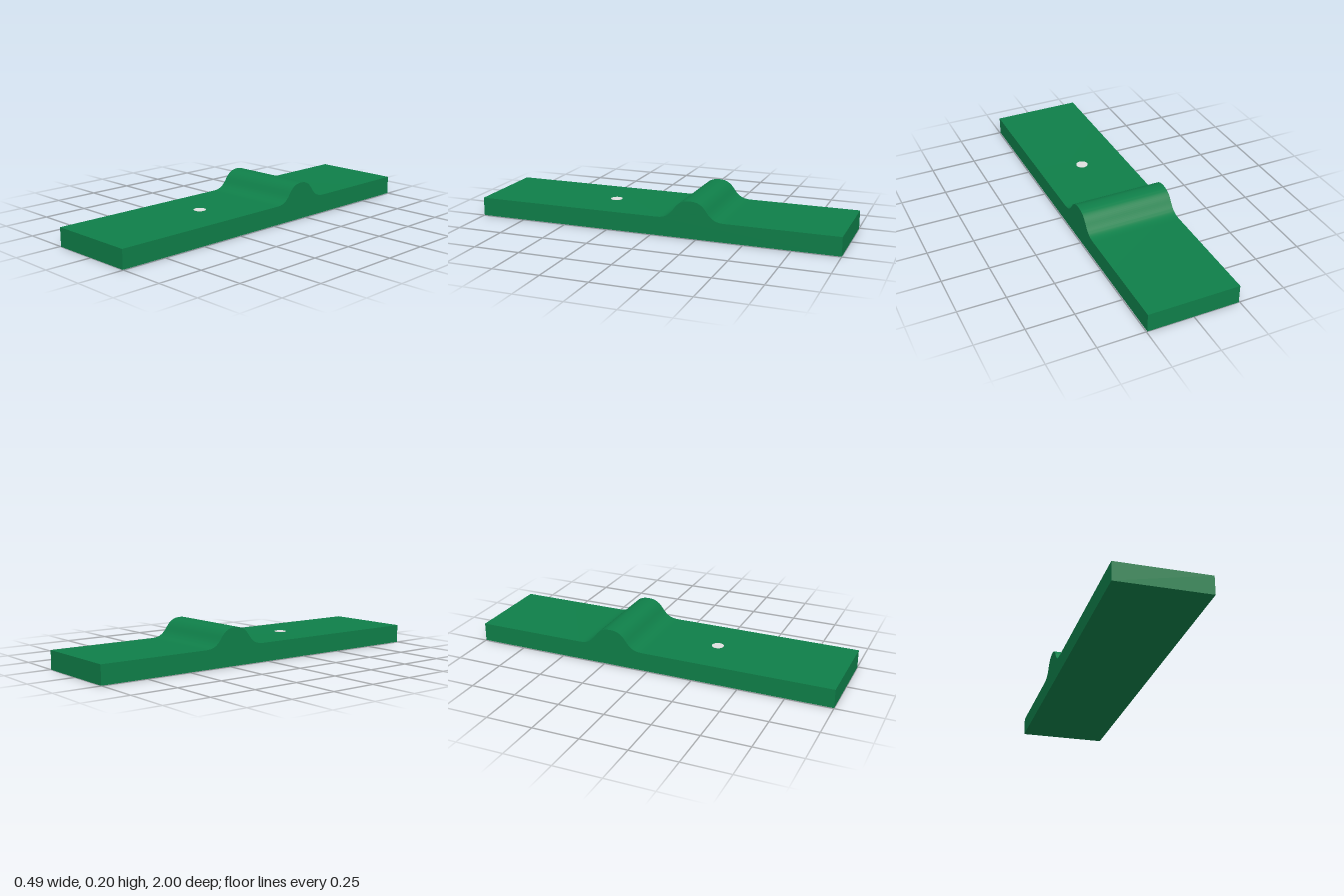
import * as THREE from 'three';
import { toCreasedNormals } from 'three/addons/utils/BufferGeometryUtils.js';

export function createModel() {
  const group = new THREE.Group();
  const green = new THREE.MeshStandardMaterial({ color: 0x0f7f49 });
  green.name = 'green';
  const white = new THREE.MeshStandardMaterial({ color: 0xe0e0e0 });
  white.name = 'white';

  const width = 0.49, top = 0.1, crest = 0.2, humpZ = -0.215;

  // Side profile of the lane: a flat slab with a smooth hump across it
  const profile = new THREE.Shape();
  profile.moveTo(-1, 0);
  profile.lineTo(1, 0);
  profile.lineTo(1, top);
  profile.lineTo(humpZ + 0.185, top);
  profile.bezierCurveTo(humpZ + 0.13, top, humpZ + 0.11, 0.122, humpZ + 0.09, 0.15);
  profile.bezierCurveTo(humpZ + 0.065, 0.187, humpZ + 0.04, crest, humpZ, crest);
  profile.bezierCurveTo(humpZ - 0.04, crest, humpZ - 0.065, 0.187, humpZ - 0.09, 0.15);
  profile.bezierCurveTo(humpZ - 0.11, 0.122, humpZ - 0.13, top, humpZ - 0.185, top);
  profile.lineTo(-1, top);
  profile.closePath();

  const body = new THREE.ExtrudeGeometry(profile, { depth: width, bevelEnabled: false, curveSegments: 12 });
  body.translate(0, 0, -width / 2);
  body.rotateY(-Math.PI / 2);
  const lane = new THREE.Mesh(toCreasedNormals(body, Math.PI / 6), green);
  lane.name = 'humpedLane';
  group.add(lane);

  // Small round marker set almost flush in the top
  const marker = new THREE.Mesh(new THREE.CylinderGeometry(0.032, 0.032, 0.006, 32), white);
  marker.name = 'startMarker';
  marker.position.set(0, top - 0.001, 0.3);
  group.add(marker);

  return group;
}
